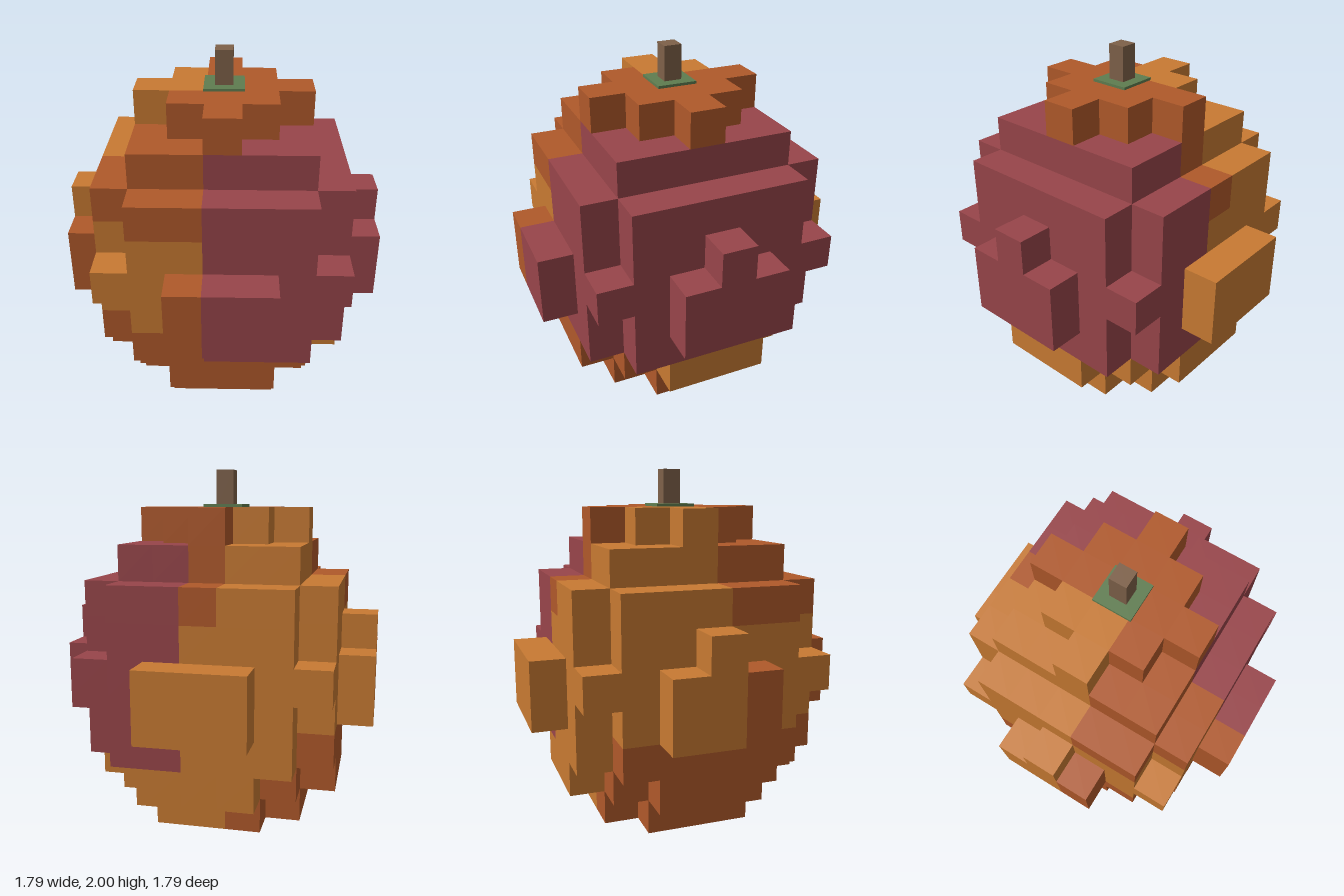
import * as THREE from 'three';
import { mergeGeometries } from 'three/addons/utils/BufferGeometryUtils.js';

const U = 0.1988; // edge of one block

const mat = (name, color) => {
  const m = new THREE.MeshStandardMaterial({ color });
  m.name = name;
  return m;
};

// Is there a block at column i (x), layer j (y), row k (z)?
function filled(i, j, k) {
  const a = Math.abs(i), b = Math.abs(k);
  const hi = Math.max(a, b), lo = Math.min(a, b);
  switch (j) {
    case 0: return hi <= 2 && lo <= 1 && hi > 0;       // foot with a dimple
    case 1: return hi <= 2 || (hi === 3 && lo <= 1);
    case 2: case 6: return hi <= 3 && lo <= 2;
    case 3: return (hi <= 3 && lo <= 2) || (hi === 4 && lo <= 1);
    case 4: return hi <= 3 || (hi === 4 && lo <= 1);
    case 5: return (hi <= 3 && lo <= 2) || (a === 4 && b === 0);
    case 7: return hi <= 2;
    case 8: return a + b <= 2;                         // crown
    default: return false;
  }
}

// Colour patch of a block
function patch(i, j, k) {
  if (j === 0) return (i >= 1 && k <= 0) || (i >= 0 && k <= -1) ? 'light' : 'dark';
  if (j === 1) return i - k >= 2 ? 'light' : 'dark';
  if (j === 8) return i < 0 && k <= 0 ? 'light' : 'dark';
  if (k === -4) return 'light';
  if (i >= 1 || (i === 0 && k > 0)) return 'red';
  if (j === 2) return k < i ? 'light' : 'dark';
  if (j >= 6) return i < 0 && k <= 0 ? 'light' : 'dark';
  if (j <= 4 && ((i === -4 && k === 1) || k === 4)) return 'dark';
  return 'light';
}

// Outward directions, each with the turn that faces a plane that way
const SIDES = [
  [0, 0, 1, 0, 0], [0, 0, -1, 0, Math.PI],
  [1, 0, 0, 0, Math.PI / 2], [-1, 0, 0, 0, -Math.PI / 2],
  [0, 1, 0, -Math.PI / 2, 0], [0, -1, 0, Math.PI / 2, 0],
];

export function createModel() {
  const group = new THREE.Group();
  group.name = 'blockFruit';

  // Fruit body: only the exposed block faces, gathered by colour
  const faces = { light: [], dark: [], red: [] };
  for (let j = 0; j < 9; j++)
    for (let i = -4; i <= 4; i++)
      for (let k = -4; k <= 4; k++) {
        if (!filled(i, j, k)) continue;
        for (const [dx, dy, dz, rx, ry] of SIDES) {
          if (filled(i + dx, j + dy, k + dz)) continue;
          const g = new THREE.PlaneGeometry(U, U).rotateX(rx).rotateY(ry);
          g.translate((i + dx / 2) * U, (j + 0.5 + dy / 2) * U, (k + dz / 2) * U);
          faces[patch(i, j, k)].push(g);
        }
      }
  const skins = {
    light: ['lightSkin', mat('light orange', 0xc87a32)],
    dark: ['darkSkin', mat('burnt orange', 0xb0592a)],
    red: ['redSkin', mat('dusky red', 0x98454a)],
  };
  for (const key in skins) {
    const mesh = new THREE.Mesh(mergeGeometries(faces[key]), skins[key][1]);
    mesh.name = skins[key][0];
    group.add(mesh);
  }

  // Leaf plate and stem
  const top = 9 * U;
  const box = (name, w, h, material) => {
    const mesh = new THREE.Mesh(new THREE.BoxGeometry(w, h, w), material);
    mesh.name = name;
    mesh.position.y = top + h / 2;
    group.add(mesh);
  };
  box('leafPlate', 0.225, 0.015, mat('leaf green', 0x5f7d50));
  box('stem', 0.1, 2 - top, mat('stem brown', 0x7e6149));

  return group;
}
